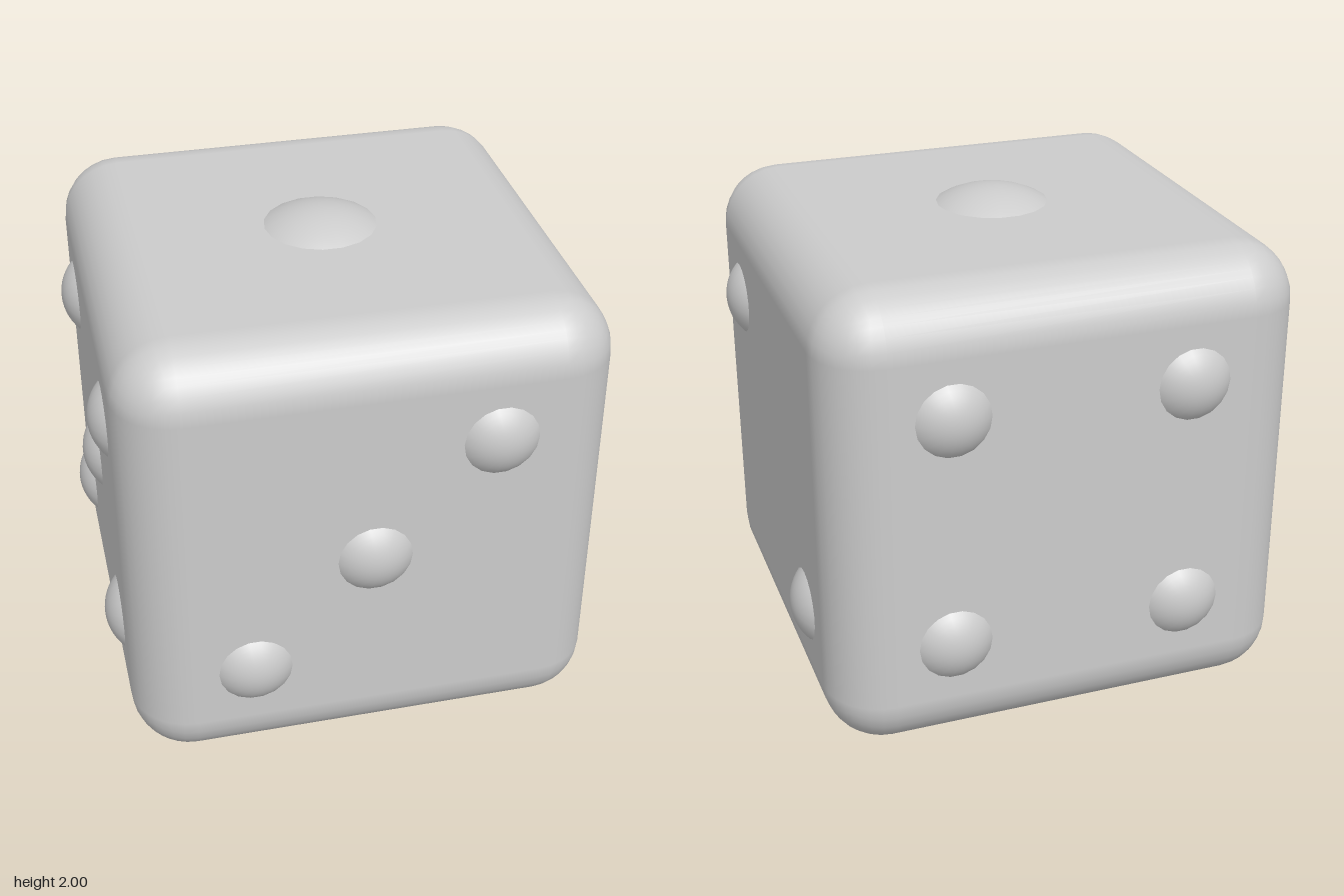
import * as THREE from 'three';
import { RoundedBoxGeometry } from 'three/addons/geometries/RoundedBoxGeometry.js';

const HALF = 0.94;   // half the cube's width
const STEP = 0.47;   // distance of the outer pips from the face centre

// Domed cap of a sphere, rising above y = 0 and sunk slightly below it
function capGeometry(radius, height) {
  const R = (radius * radius + height * height) / (2 * height);
  const angle = Math.acos((R - height - 0.015) / R);
  const geo = new THREE.SphereGeometry(R, 18, 8, 0, Math.PI * 2, 0, angle);
  geo.translate(0, height - R, 0);
  return geo;
}

export function createModel() {
  const model = new THREE.Group();
  model.name = 'die';
  const material = new THREE.MeshStandardMaterial({ color: 0xcccccc });

  // Rounded cube
  const body = new THREE.Mesh(new RoundedBoxGeometry(HALF * 2, HALF * 2, HALF * 2, 4, 0.235), material);
  body.name = 'body';
  body.position.y = 1;
  model.add(body);

  // Pip layouts as [u, v] steps; each face gives its normal and its u and v axes
  const corners = [[-1, -1], [-1, 1], [1, -1], [1, 1]];
  const X = [1, 0, 0], Y = [0, 1, 0], Z = [0, 0, 1];
  const faces = [
    { name: 'topPips', n: [0, 1, 0], u: X, v: Z, pips: [[0, 0]], large: true },
    { name: 'rightFacePips', n: [1, 0, 0], u: Z, v: Y, pips: [[1, 1], [-1, -1]] },
    { name: 'frontPips', n: [0, 0, 1], u: X, v: Y, pips: [[-1, -1], [0, 0], [1, 1]] },
    { name: 'backPips', n: [0, 0, -1], u: X, v: Y, pips: corners },
    { name: 'leftFacePips', n: [-1, 0, 0], u: Z, v: Y, pips: [...corners, [0, 0]] },
    { name: 'bottomPips', n: [0, -1, 0], u: X, v: Z, pips: [...corners, [-1, 0], [1, 0]] },
  ];
  const smallPip = capGeometry(0.145, 0.06);
  const largePip = capGeometry(0.222, 0.06);
  const up = new THREE.Vector3(0, 1, 0);

  for (const face of faces) {
    const group = new THREE.Group();
    group.name = face.name;
    group.position.y = 1;
    const normal = new THREE.Vector3(...face.n);
    const u = new THREE.Vector3(...face.u), v = new THREE.Vector3(...face.v);
    for (const [a, b] of face.pips) {
      const pip = new THREE.Mesh(face.large ? largePip : smallPip, material);
      pip.name = 'pip';
      pip.quaternion.setFromUnitVectors(up, normal);
      pip.position.copy(normal).multiplyScalar(HALF)
        .addScaledVector(u, a * STEP).addScaledVector(v, b * STEP);
      group.add(pip);
    }
    model.add(group);
  }
  return model;
}
